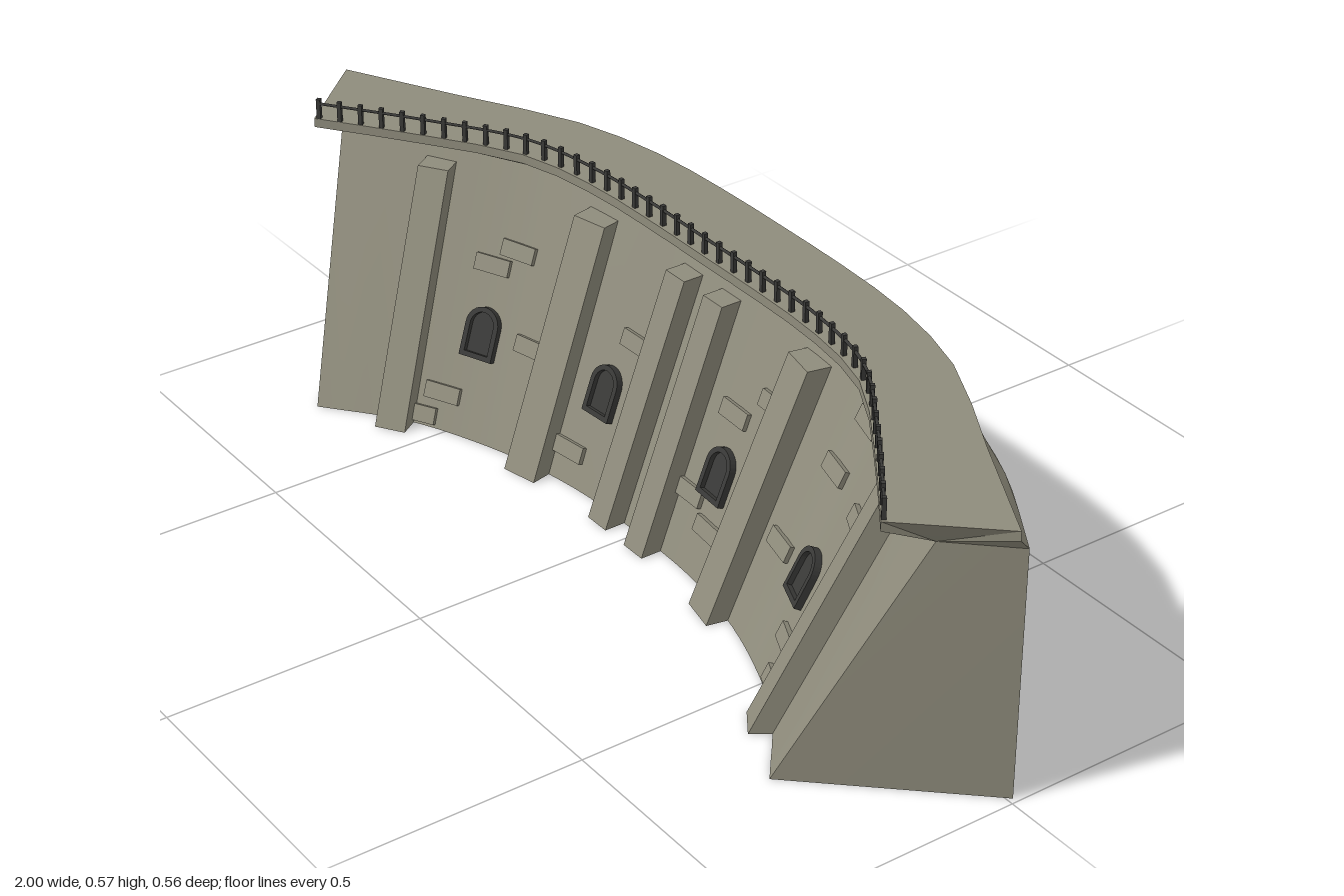
import * as THREE from 'three';
import { toCreasedNormals } from 'three/addons/utils/BufferGeometryUtils.js';

const stone = new THREE.MeshStandardMaterial({ color: 0x8f8c7c });
const dark = new THREE.MeshStandardMaterial({ color: 0x3a3a38 });
const V = (x, y, z) => new THREE.Vector3(x, y, z);

// Plan curve: half is given from the +x end to the centre as [x, z], then mirrored
function planCurve(half) {
  const left = half.map(([x, z]) => V(-x, 0, z));
  const right = half.slice(0, -1).reverse().map(([x, z]) => V(x, 0, z));
  return new THREE.CatmullRomCurve3([...left, ...right]);
}
const back = planCurve([[.99, -.01], [.8, -.122], [.6, -.197], [.4, -.24], [.2, -.253], [0, -.255]]);
const foot = planCurve([[.72, .28], [.58, .17], [.44, .105], [.3, .062], [.15, .038], [0, .035]]);
const frontTop = planCurve([[.89, .095], [.7, -.015], [.52, -.105], [.35, -.138], [.17, -.148], [0, -.148]]);
const crestOut = planCurve([[1, .018], [.78, -.098], [.55, -.22], [.36, -.267], [.18, -.28], [0, -.282]]);
const crestIn = planCurve([[.853, .177], [.67, .045], [.5, -.06], [.34, -.094], [.17, -.102], [0, -.102]]);
const TOP = 0.485;

// Solid swept from -x to +x through a ring of [curve, height] rows
function loft(rows, steps = 40) {
  const pos = [], idx = [], n = rows.length;
  for (let i = 0; i <= steps; i++) {
    for (const [curve, y] of rows) {
      const p = curve.getPoint(i / steps);
      pos.push(p.x, y, p.z);
    }
  }
  for (let i = 0; i < steps; i++) {
    for (let j = 0; j < n; j++) {
      const a = i * n + j, b = i * n + (j + 1) % n;
      idx.push(a, a + n, b, a + n, b + n, b);
    }
  }
  const e = steps * n;
  for (let k = 1; k < n - 1; k++) idx.push(0, k, k + 1, e, e + k + 1, e + k);
  const g = new THREE.BufferGeometry();
  g.setAttribute('position', new THREE.Float32BufferAttribute(pos, 3));
  g.setIndex(idx);
  return toCreasedNormals(g, 0.45);
}

// Point on the sloping front face at parameter t and height y
function facePoint(t, y) {
  const p = foot.getPoint(t).lerp(frontTop.getPoint(t), y / TOP);
  p.y = y;
  return p;
}

// Position and local frame on the front face, found from x and y
function faceFrame(x, y) {
  let lo = 0, hi = 1;
  for (let i = 0; i < 30; i++) {
    const mid = (lo + hi) / 2;
    if (facePoint(mid, y).x < x) lo = mid; else hi = mid;
  }
  const t = THREE.MathUtils.clamp(lo, .01, .99);
  const along = facePoint(t + .01, y).sub(facePoint(t - .01, y)).normalize();
  const rise = facePoint(t, y + .01).sub(facePoint(t, y - .01)).normalize();
  const out = along.clone().cross(rise).normalize();
  const up = out.clone().cross(along);
  return { p: facePoint(t, y), along, m: new THREE.Matrix4().makeBasis(along, up, out) };
}

function placeOnFace(object, x, y) {
  const f = faceFrame(x, y);
  object.position.copy(f.p);
  object.quaternion.setFromRotationMatrix(f.m);
  return object;
}

function named(name, geometry, material = stone) {
  const mesh = new THREE.Mesh(geometry, material);
  mesh.name = name;
  return mesh;
}

// Leaning pier: a box whose upper end is sheared back along the face
function buttress(xFoot, xTop, width) {
  const g = new THREE.BoxGeometry(1, 1, 1);
  const a = faceFrame(xFoot, 0), b = faceFrame(xTop, .46);
  const along = a.along.clone().setY(0).normalize();
  const out = V(-along.z, 0, along.x);
  const p = g.attributes.position;
  for (let i = 0; i < p.count; i++) {
    const q = (p.getY(i) > 0 ? b.p : a.p).clone();
    q.addScaledVector(along, p.getX(i) * width);
    q.addScaledVector(out, p.getZ(i) > 0 ? .042 : -.03);
    p.setXYZ(i, q.x, q.y, q.z);
  }
  const flat = g.toNonIndexed();
  flat.computeVertexNormals();
  return named('buttress', flat);
}

function archPath(path, r, h) {
  path.moveTo(-r, -h / 2);
  path.lineTo(r, -h / 2);
  path.lineTo(r, h / 2 - r);
  path.absarc(0, h / 2 - r, r, 0, Math.PI, false);
  path.lineTo(-r, -h / 2);
  return path;
}

// Arched opening: raised frame around a dark panel
function archWindow() {
  const group = new THREE.Group();
  group.name = 'archedWindow';
  const shape = archPath(new THREE.Shape(), .036, .1);
  shape.holes.push(archPath(new THREE.Path(), .026, .08));
  const frame = named('windowFrame', new THREE.ExtrudeGeometry(shape, { depth: .022, bevelEnabled: false, curveSegments: 8 }), dark);
  frame.position.z = -.008;
  const pane = named('windowPanel', new THREE.ShapeGeometry(archPath(new THREE.Shape(), .03, .09), 8), dark);
  pane.position.z = .004;
  group.add(frame, pane);
  return group;
}

export function createModel() {
  const model = new THREE.Group();
  model.name = 'curvedDam';

  // Main wall and the flared walkway on top
  model.add(named('wall', loft([[foot, 0], [frontTop, TOP], [back, TOP], [back, 0]])));
  model.add(named('crest', loft([[frontTop, TOP], [crestIn, .515], [crestIn, .533],
    [crestOut, .533], [crestOut, .515], [back, TOP]], 20)));

  // Buttresses: foot x, top x, width
  for (const [a, b, w] of [[-.59, -.695, .062], [-.297, -.335, .075], [-.07, -.07, .055],
    [.043, .043, .055], [.28, .305, .075], [.6, .71, .062]]) model.add(buttress(a, b, w));

  // Arched windows
  for (const x of [-.5, -.19, .16, .5]) model.add(placeOnFace(archWindow(), x, .185));

  // Raised stone blocks
  const block = new THREE.BoxGeometry(.075, .032, .02);
  for (const [x, y] of [[-.49, .338], [-.53, .303], [-.39, .19], [-.53, .065], [-.56, .02],
    [-.23, .06], [-.15, .29], [.15, .29], [.24, .345], [.1, .125], [.18, .09],
    [.39, .175], [.46, .34], [.5, .44], [.6, .33], [.53, .09], [.54, .025]]) {
    model.add(placeOnFace(named('stoneBlock', block), x, y));
  }

  // Railing along the front edge of the crest
  const railing = new THREE.Group();
  railing.name = 'railing';
  const line = crestIn.getSpacedPoints(44).map(p => V(p.x * .995, .553, p.z - .009));
  const post = new THREE.BoxGeometry(.008, .04, .008);
  line.forEach((p, i) => {
    const mesh = named('railPost', post, dark);
    mesh.position.copy(p);
    const d = line[Math.min(i + 1, 44)].clone().sub(line[Math.max(i - 1, 0)]);
    mesh.rotation.y = Math.atan2(-d.z, d.x);
    railing.add(mesh);
  });
  const path = new THREE.CatmullRomCurve3(line);
  const rail = named('handRail', new THREE.TubeGeometry(path, 60, .003, 6), dark);
  rail.position.y = .01;
  railing.add(rail);
  model.add(railing);
  return model;
}
